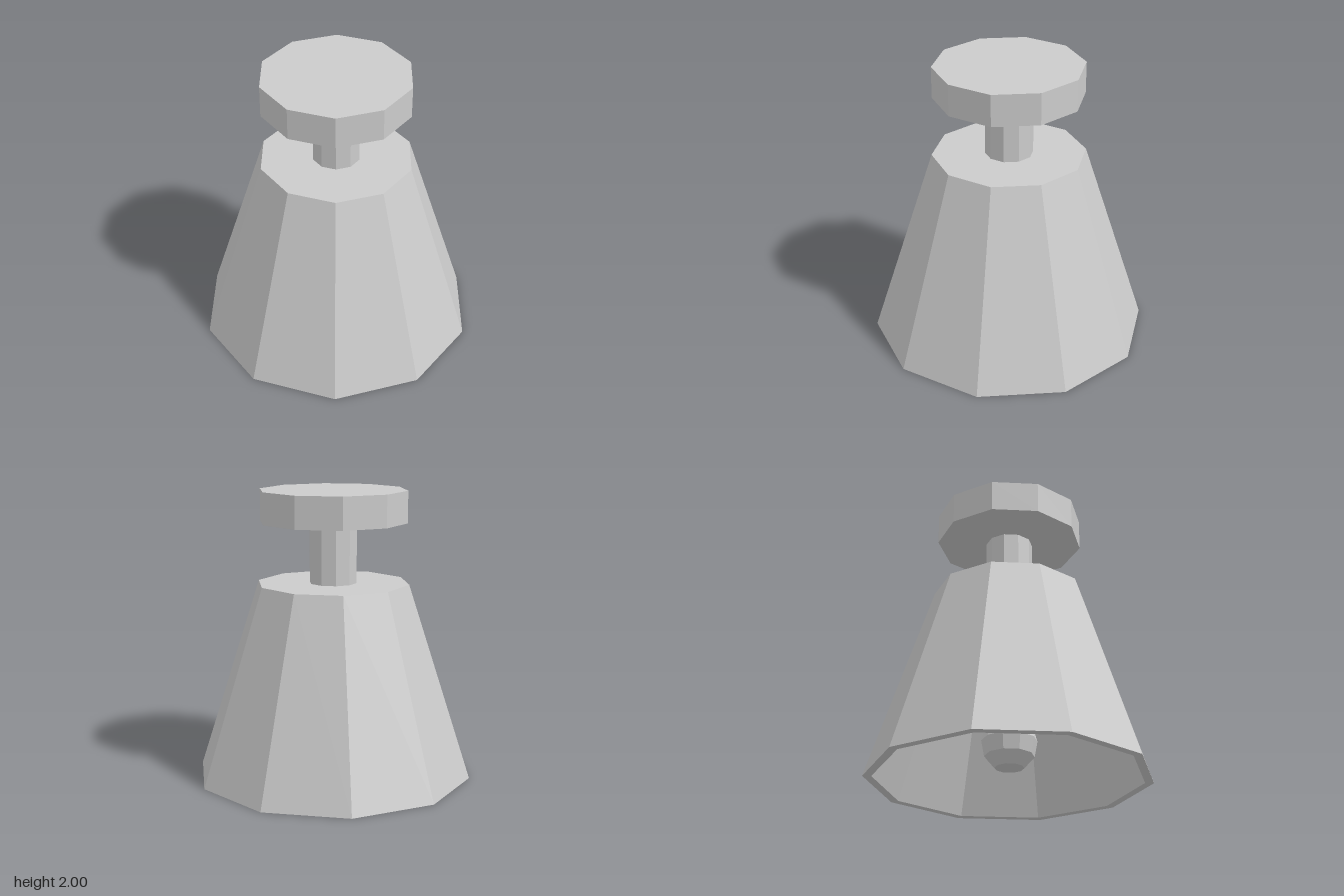
import * as THREE from 'three';

const SIDES = 10;
const material = new THREE.MeshStandardMaterial({ color: 0xcccccc, flatShading: true });

// Ten-sided turned part; profile is [radius, height] pairs, with a corner on the x axis
function turned(name, profile) {
  const points = profile.map(([r, y]) => new THREE.Vector2(r, y));
  const mesh = new THREE.Mesh(new THREE.LatheGeometry(points, SIDES, Math.PI / 2), material);
  mesh.name = name;
  return mesh;
}

export function createModel() {
  const lamp = new THREE.Group();
  lamp.name = 'ceilingLamp';

  // Thick flared shade: recessed ceiling, inner wall, rim, outer wall, top
  lamp.add(turned('shade', [[0, 0.62], [0.7, 0.62], [0.91, 0], [0.97, 0], [0.53, 1.36], [0, 1.36]]));

  // Stem between the shade and the mounting plate
  lamp.add(turned('stem', [[0, 1.35], [0.165, 1.35], [0.165, 1.79], [0, 1.79]]));

  // Mounting plate
  lamp.add(turned('mountingPlate', [[0, 1.78], [0.515, 1.78], [0.515, 2], [0, 2]]));

  // Bulb hanging inside the shade
  lamp.add(turned('bulb', [[0, 0.06], [0.1, 0.08], [0.17, 0.16], [0.19, 0.27], [0.16, 0.38], [0.09, 0.52], [0.09, 0.63]]));

  return lamp;
}
